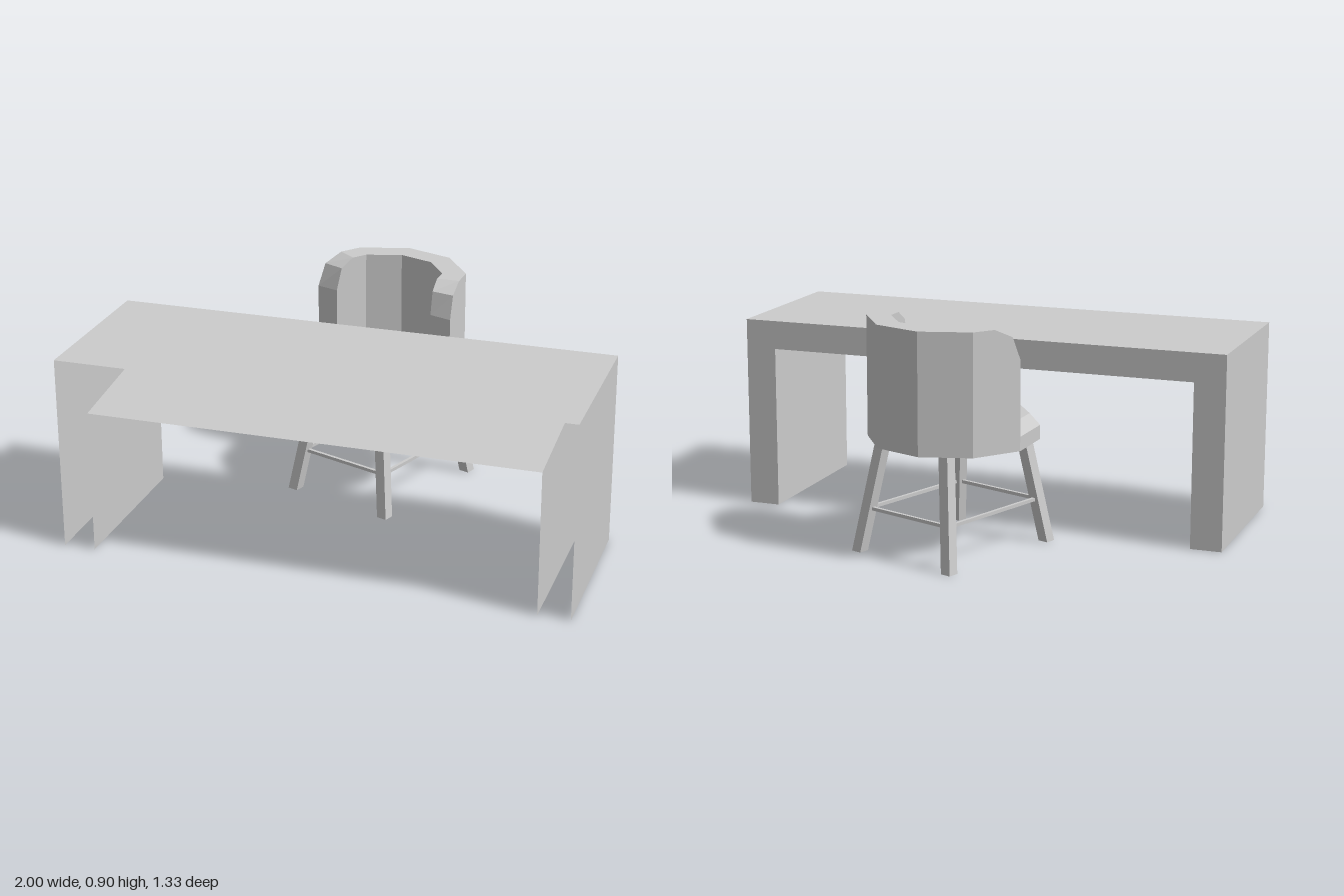
import * as THREE from 'three';

const grey = new THREE.MeshStandardMaterial({ color: 0xcccccc, flatShading: true });
const sheet = new THREE.MeshStandardMaterial({ color: 0xcccccc, flatShading: true, side: THREE.DoubleSide });

function add(parent, name, geometry, material = grey) {
  const mesh = new THREE.Mesh(geometry, material);
  mesh.name = name;
  parent.add(mesh);
  return mesh;
}

// Skin a row of equal cross-sections; loops may be closed and capped
function loft(sections, solid = true) {
  const pos = [];
  const tri = (...pts) => pts.forEach((p) => pos.push(...p));
  const n = sections[0].length;
  for (let i = 0; i < sections.length - 1; i++) {
    const s = sections[i], e = sections[i + 1];
    for (let j = 0; j < (solid ? n : n - 1); j++) {
      const k = (j + 1) % n;
      tri(s[j], s[k], e[k], s[j], e[k], e[j]);
    }
  }
  if (solid) {
    const s = sections[0], e = sections[sections.length - 1];
    for (let j = 1; j < n - 1; j++) {
      tri(s[0], s[j + 1], s[j]);
      tri(e[0], e[j], e[j + 1]);
    }
  }
  const g = new THREE.BufferGeometry();
  g.setAttribute('position', new THREE.Float32BufferAttribute(pos, 3));
  g.computeVertexNormals();
  return g;
}

function makeDesk() {
  const desk = new THREE.Group();
  desk.name = 'desk';
  const front = 0.665, back = -0.02;
  const arch = (x, y, z) => [[-x, 0, z], [-x, y, z], [x, y, z], [x, 0, z]];
  // Outer skin, and inner skin whose ceiling drops towards the front
  add(desk, 'deskOuterShell', loft([arch(1, 0.77, front), arch(1, 0.77, back)], false), sheet);
  add(desk, 'deskInnerShell', loft([arch(0.875, 0.57, front), arch(0.875, 0.655, back)], false), sheet);
  // Flat arch that joins the skins at the back
  const outline = [...arch(1, 0.77, 0), ...arch(0.875, 0.655, 0).reverse()];
  const shape = new THREE.Shape(outline.map(([x, y]) => new THREE.Vector2(x, y)));
  add(desk, 'deskBackFrame', new THREE.ShapeGeometry(shape), sheet).position.z = back;
  return desk;
}

function makeChair() {
  const chair = new THREE.Group();
  chair.name = 'chair';
  const R = 0.33, inner = 0.235, base = 0.43;

  // Ten-sided seat with a bevelled rim
  const profile = [[0, base], [R, base], [R, 0.485], [0.29, 0.53], [0, 0.53]];
  add(chair, 'seat', new THREE.LatheGeometry(
    profile.map(([x, y]) => new THREE.Vector2(x, y)), 10, Math.PI / 2));

  // Point on the decagon, t counting its sides from the chair's left arm
  const rim = (t, r, y) => {
    const i = Math.floor(t), f = t - i;
    const a = i * Math.PI / 5, b = (i + 1) * Math.PI / 5;
    return [r * THREE.MathUtils.lerp(Math.cos(a), Math.cos(b), f), y,
      -r * THREE.MathUtils.lerp(Math.sin(a), Math.sin(b), f)];
  };
  // Wraparound backrest, its top dropping at both arm ends
  const arm = [[0, 0.775], [0.17, 0.865], [0.55, 0.9]];
  const stations = [...arm, ...[1, 2, 3, 4].map((t) => [t, 0.9]),
    ...arm.map(([t, y]) => [5 - t, y]).reverse()];
  add(chair, 'backrest', loft(stations.map(([t, y]) =>
    [rim(t, R, base), rim(t, inner, base), rim(t, inner, y), rim(t, R, y)])));

  // Splayed square legs
  const foot = [0.228, 0.285], top = [0.16, 0.22], w = 0.0215;
  const square = (x, y, z) => [[x + w, y, z + w], [x + w, y, z - w], [x - w, y, z - w], [x - w, y, z + w]];
  for (const sx of [-1, 1]) for (const sz of [-1, 1]) {
    add(chair, (sz > 0 ? 'front' : 'back') + (sx > 0 ? 'LeftLeg' : 'RightLeg'),
      loft([square(sx * foot[0], 0, sz * foot[1]), square(sx * top[0], base + 0.005, sz * top[1])]));
  }

  // Thin stretchers between the legs
  const y = 0.17, bar = 0.013;
  const [x, z] = foot.map((f, i) => THREE.MathUtils.lerp(f, top[i], y / base));
  for (const s of [-1, 1]) {
    add(chair, s > 0 ? 'frontStretcher' : 'backStretcher',
      new THREE.BoxGeometry(2 * x, bar, bar)).position.set(0, y, s * z);
    add(chair, s > 0 ? 'leftStretcher' : 'rightStretcher',
      new THREE.BoxGeometry(bar, bar, 2 * z)).position.set(s * x, y, 0);
  }

  // Turned slightly, behind the desk
  chair.position.set(-0.01, 0, -0.295);
  chair.rotation.y = THREE.MathUtils.degToRad(-20);
  return chair;
}

export function createModel() {
  const model = new THREE.Group();
  model.name = 'deskAndChair';
  model.add(makeDesk(), makeChair());
  return model;
}
